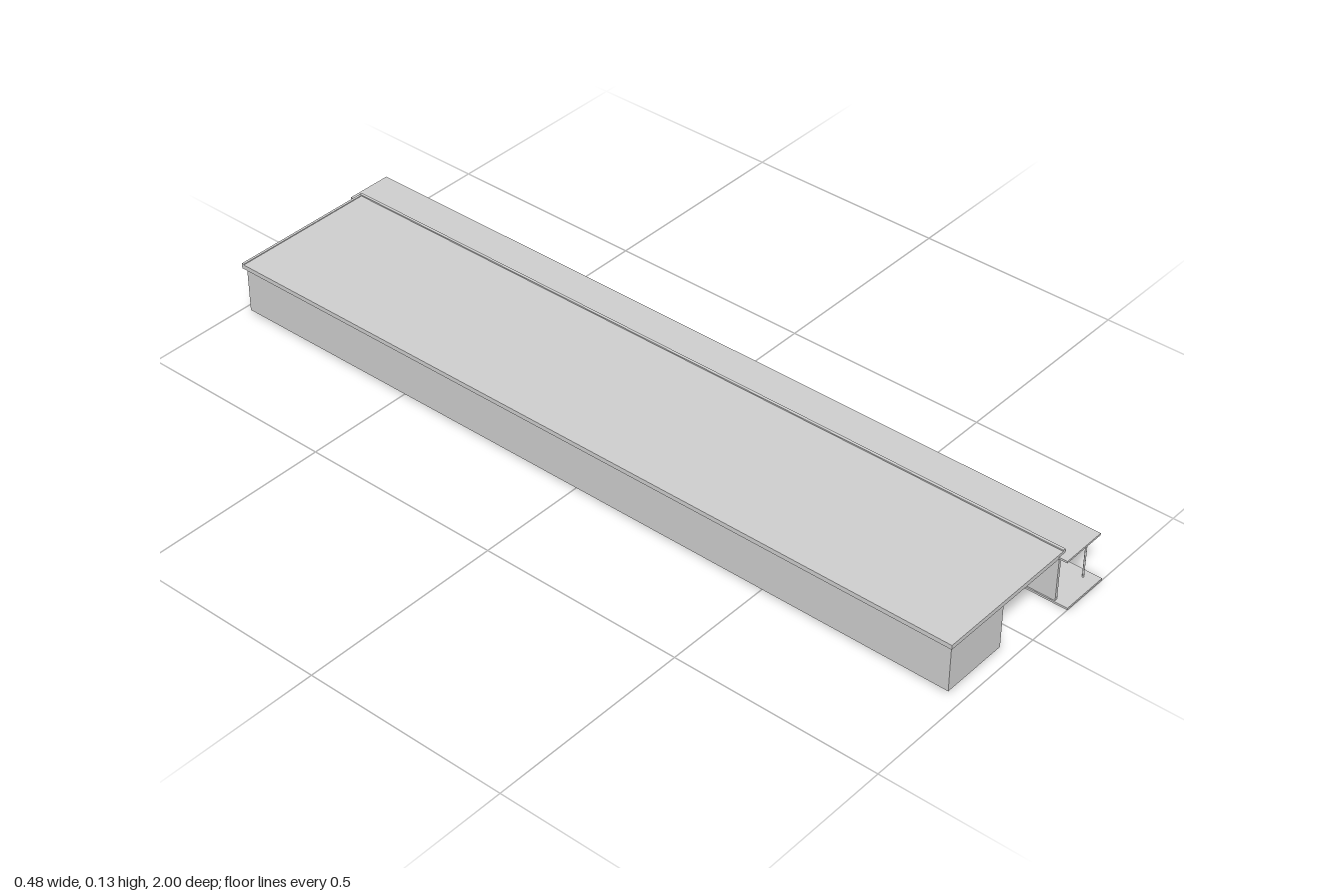
import * as THREE from 'three';

export function createModel() {
  const group = new THREE.Group();
  group.name = 'longBuilding';
  const plaster = new THREE.MeshStandardMaterial({ color: 0xcccccc });
  plaster.name = 'palePlaster';

  const add = (name, geometry, parent = group) => {
    const mesh = new THREE.Mesh(geometry, plaster);
    mesh.name = name;
    parent.add(mesh);
    return mesh;
  };
  // Box given by its minimum and maximum on each axis
  const box = (name, x0, x1, y0, y1, z0, z1, parent) => {
    const g = new THREE.BoxGeometry(x1 - x0, y1 - y0, z1 - z0);
    g.translate((x0 + x1) / 2, (y0 + y1) / 2, (z0 + z1) / 2);
    return add(name, g, parent);
  };
  const rect = (path, u0, u1, y0, y1) => {
    path.moveTo(u0, y0);
    path.lineTo(u1, y0);
    path.lineTo(u1, y1);
    path.lineTo(u0, y1);
    path.closePath();
    return path;
  };

  // Main block and the walls of the end room
  box('mainBlock', -0.237, -0.067, 0.008, 0.12, -0.975, 0.968);
  box('backWall', -0.067, 0.121, 0.008, 0.12, -0.975, -0.969);
  box('roomWall', -0.067, 0.121, 0.008, 0.12, -0.743, -0.737);

  // Roof with a low rim along the canopy side and the back end
  box('roof', -0.242, 0.13, 0.12, 0.131, -0.985, 0.972);
  box('roofSideRim', 0.127, 0.134, 0.12, 0.134, -0.985, 0.972);
  box('roofBackRim', -0.242, 0.127, 0.131, 0.133, -0.985, -0.979);

  // Covered walkway
  box('canopy', 0.113, 0.229, 0.12, 0.125, -1, 0.992);
  box('walkway', 0.118, 0.24, 0, 0.005, -1, 1);

  // Facade wall facing the walkway, with window and door openings
  const windows = Array.from({ length: 8 }, (_, i) => 0.85 - i * 0.203);
  const wall = rect(new THREE.Shape(), -0.968, 0.975, 0.005, 0.12);
  const hole = (z, w, y0, y1) =>
    wall.holes.push(rect(new THREE.Path(), -z - w / 2, -z + w / 2, y0, y1));
  windows.forEach(z => hole(z, 0.06, 0.04, 0.088));
  hole(0.363, 0.04, 0.01, 0.093);
  hole(-0.892, 0.058, 0.008, 0.098);
  const facade = new THREE.ExtrudeGeometry(wall, { depth: 0.007, bevelEnabled: false });
  facade.rotateY(Math.PI / 2);
  facade.translate(0.121, 0, 0);
  add('facade', facade);

  // Barred windows with a small box under each
  windows.forEach(z => {
    const win = new THREE.Group();
    win.name = 'barredWindow';
    group.add(win);
    for (let i = 0; i < 7; i++) {
      const c = z - 0.027 + i * 0.009;
      box('windowBar', 0.124, 0.131, 0.04, 0.088, c - 0.002, c + 0.002, win);
    }
    for (const y of [0.04, 0.063, 0.086])
      box('windowRail', 0.125, 0.13, y, y + 0.002, z - 0.03, z + 0.03, win);
    box('windowBox', 0.125, 0.134, 0.015, 0.028, z - 0.012, z + 0.012, win);
  });

  // Closed doors and the end room window
  for (const z of [0.168, -0.047, -0.257])
    box('door', 0.126, 0.13, 0.01, 0.09, z - 0.012, z + 0.012);
  box('roomWindow', 0.126, 0.13, 0.036, 0.093, -0.85, -0.765);

  // Pilaster strips on the facade
  for (const z of [0.909, -0.31, -0.51, -0.717])
    box('pilaster', 0.126, 0.129, 0.008, 0.12, z - 0.002, z + 0.002);

  // Canopy posts with feet, and wall lamps in line with them
  const postZ = Array.from({ length: 9 }, (_, i) => 0.968 - i * 0.2025);
  [...postZ, -0.975].forEach(z => {
    const post = new THREE.CylinderGeometry(0.0022, 0.0022, 0.117, 8);
    post.translate(0.219, 0.0625, z);
    add('canopyPost', post);
  });
  postZ.slice(1).forEach(z => {
    box('wallLamp', 0.127, 0.136, 0.091, 0.097, z - 0.018, z + 0.018);
  });

  return group;
}
